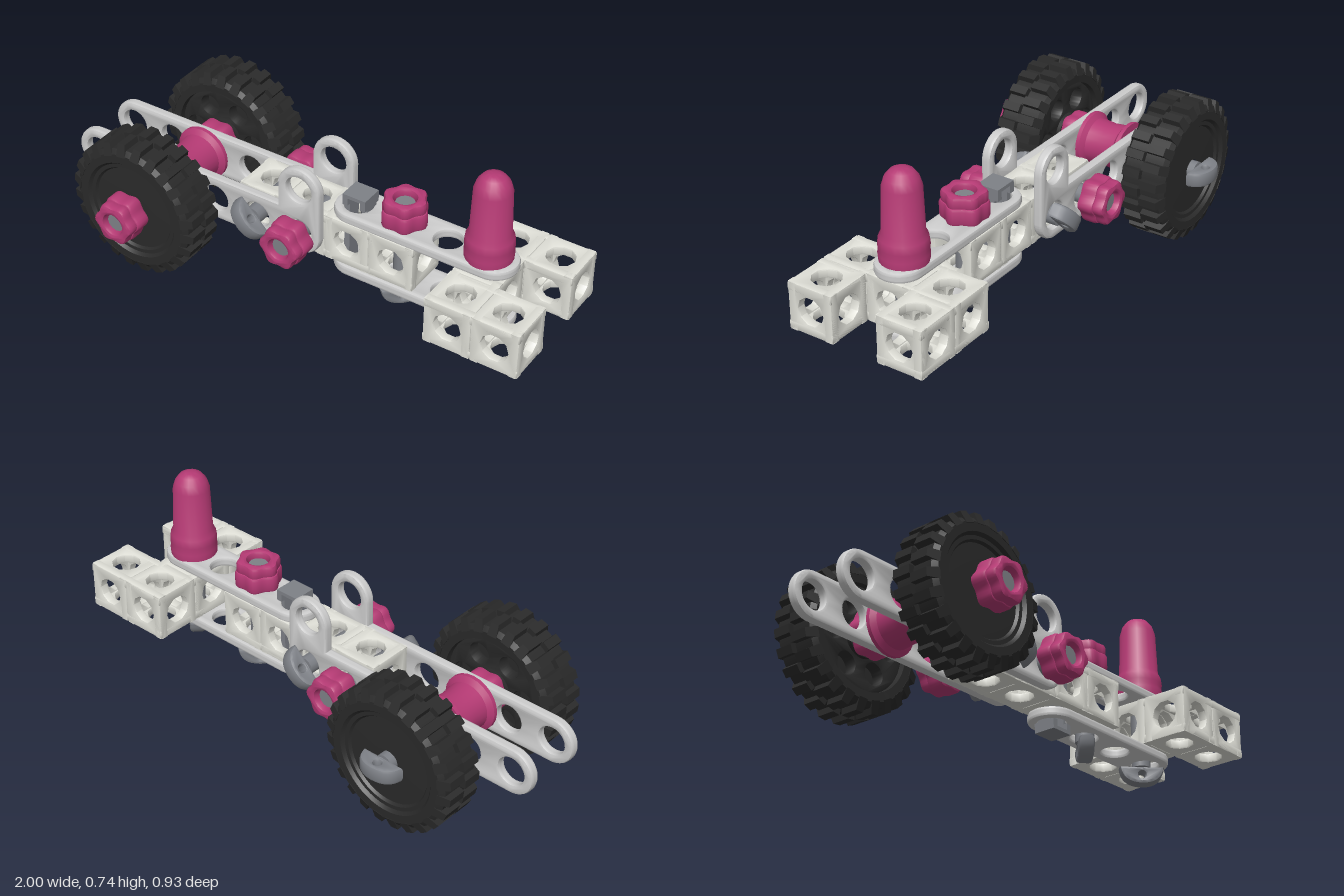
import * as THREE from 'three';
import { mergeGeometries, toCreasedNormals } from 'three/addons/utils/BufferGeometryUtils.js';

const mat = (color) => new THREE.MeshStandardMaterial({ color });
const P = 0.185;   // hole spacing
const ZC = -0.01;  // centre plane of the frame
const HOLE = 0.053;

function add(parent, name, geo, material, x = 0, y = 0, z = 0) {
  const m = new THREE.Mesh(geo, material);
  m.name = name;
  m.position.set(x, y, z);
  parent.add(m);
  return m;
}

function hole(shape, x, y, r) {
  const p = new THREE.Path();
  p.absarc(x, y, r, 0, Math.PI * 2, true);
  shape.holes.push(p);
}

// Extrusion centred on z = 0, bevel included in the total depth
function slab(shape, depth, bevel = 0.008, segs = 8) {
  const g = new THREE.ExtrudeGeometry(shape, {
    depth: depth - 2 * bevel, bevelEnabled: bevel > 0, bevelSize: bevel, bevelOffset: -bevel,
    bevelThickness: bevel, bevelSegments: 2, curveSegments: segs,
  });
  g.translate(0, 0, -depth / 2 + bevel);
  return toCreasedNormals(g, 0.7);
}

// Rounded strip with n holes, first hole at the origin; optional upright eye above the last hole
function strip(n, upright) {
  const r = 0.09, L = (n - 1) * P, s = new THREE.Shape();
  s.absarc(0, 0, r, Math.PI / 2, Math.PI * 1.5, false);
  if (upright) {
    s.absarc(L, 0, r, -Math.PI / 2, 0, false);
    s.absarc(L, P, r, 0, Math.PI, false);
    s.lineTo(L - r, r);
  } else s.absarc(L, 0, r, -Math.PI / 2, Math.PI / 2, false);
  s.closePath();
  for (let i = 0; i < n; i++) hole(s, i * P, 0, HOLE);
  if (upright) hole(s, L, P, HOLE);
  return slab(s, 0.04, 0.012, 12);
}

// Cube cell bored through on all three axes
function cellGeometry() {
  const h = P / 2, t = 0.036, s = new THREE.Shape();
  s.moveTo(-h, -h); s.lineTo(h, -h); s.lineTo(h, h); s.lineTo(-h, h); s.closePath();
  hole(s, 0, 0, 0.054);
  const faces = [[0, 0], [0, Math.PI], [0, Math.PI / 2], [0, -Math.PI / 2], [Math.PI / 2, 0], [-Math.PI / 2, 0]];
  return mergeGeometries(faces.map(([rx, ry]) =>
    slab(s, t, 0.005, 5).translate(0, 0, h - t / 2).rotateX(rx).rotateY(ry)));
}

// Six-lobed outline for the hand nuts
function lobed(r, depth) {
  const pts = [];
  for (let i = 0; i < 48; i++) {
    const a = (i / 48) * Math.PI * 2, q = r * (0.93 + 0.07 * Math.cos(a * 6));
    pts.push(new THREE.Vector2(q * Math.cos(a), q * Math.sin(a)));
  }
  const s = new THREE.Shape(pts);
  hole(s, 0, 0, 0.042);
  return slab(s, depth, 0.012, 10);
}

// Bolt along local z: winged head below a, shaft to b, nut above b
function bolt(name, a, b, mats, { nut = true, twist = 0 } = {}) {
  const g = new THREE.Group();
  g.name = name;
  const end = b + 0.085;
  add(g, 'shaft', new THREE.CylinderGeometry(0.036, 0.036, end - a, 12).rotateX(Math.PI / 2), mats.steel, 0, 0, (a + end) / 2);
  const s = new THREE.Shape();
  s.moveTo(-0.085, 0); s.lineTo(0.085, 0);
  s.bezierCurveTo(0.08, 0.045, 0.055, 0.068, 0, 0.07);
  s.bezierCurveTo(-0.055, 0.068, -0.08, 0.045, -0.085, 0);
  hole(s, 0, 0.032, 0.014);
  const head = add(g, 'wingHead', slab(s, 0.06, 0.012).rotateX(-Math.PI / 2), mats.steel, 0, 0, a);
  head.rotation.z = twist;
  if (nut) {
    add(g, 'nutBase', lobed(0.09, 0.068), mats.pink, 0, 0, b + 0.034);
    add(g, 'nutTop', lobed(0.084, 0.05), mats.pink, 0, 0, b + 0.083);
  }
  return g;
}

// Wheel with axis z, outer face towards +z
function wheel(name, rubber) {
  const g = new THREE.Group();
  g.name = name;
  const profile = [[0.04, -0.085], [0.075, -0.085], [0.075, -0.02], [0.19, -0.02], [0.2, -0.088], [0.235, -0.09],
    [0.253, -0.075], [0.253, 0.075], [0.235, 0.09], [0.2, 0.09], [0.19, 0.078], [0.175, 0.078], [0.168, 0.068],
    [0.1, 0.07], [0.04, 0.07]].map(([r, y]) => new THREE.Vector2(r, y));
  add(g, 'tyre', toCreasedNormals(new THREE.LatheGeometry(profile, 48).rotateX(Math.PI / 2), 0.6), rubber);

  // Inner rim with round pockets
  const rim = new THREE.Shape();
  rim.absarc(0, 0, 0.197, 0, Math.PI * 2, false);
  hole(rim, 0, 0, 0.04);
  for (let i = 0; i < 6; i++) hole(rim, 0.132 * Math.cos(i * Math.PI / 3), 0.132 * Math.sin(i * Math.PI / 3), 0.042);
  add(g, 'pocketRim', slab(rim, 0.05, 0.004, 16), rubber, 0, 0, -0.045);

  // Two staggered rows of tapered tread lugs
  const lugs = [], n = 24;
  for (const side of [-1, 1]) for (let i = 0; i < n; i++) {
    const lug = new THREE.BoxGeometry(0.04, 0.046, 0.09), p = lug.attributes.position;
    for (let k = 0; k < p.count; k++) if (p.getY(k) > 0) {
      p.setX(k, p.getX(k) * 0.8);
      if (p.getZ(k) * side > 0) p.setZ(k, p.getZ(k) - side * 0.018);
    }
    lug.computeVertexNormals();
    lugs.push(lug.translate(0, 0.252, side * 0.0475).rotateZ((i + (side > 0 ? 0.5 : 0)) / n * Math.PI * 2));
  }
  add(g, 'treadLugs', mergeGeometries(lugs), rubber);
  return g;
}

export function createModel() {
  const root = new THREE.Group();
  root.name = 'constructionVehicle';
  const mats = { pink: mat(0xb53a74), steel: mat(0x7e8187) };
  const white = mat(0xdfdfd7), grey = mat(0xcdcdcb), rubber = mat(0x2a2a2a);
  const AX = -0.57, AY = 0.277;

  // Perforated blocks: the centre beam and the forked nose
  const cell = cellGeometry();
  const beam = new THREE.Group(), nose = new THREE.Group();
  beam.name = 'centreBeam'; nose.name = 'forkedNose';
  root.add(beam, nose);
  for (let i = 0; i < 4; i++) add(beam, 'beamCell', cell, white, -0.175 + i * P, AY, ZC);
  for (const [i, k] of [[0, -1], [0, 0], [0, 1], [1, -1], [1, 1]])
    add(nose, 'noseCell', cell, white, 0.722 + i * P, 0.264, ZC + k * P);

  // Side strips with upright eyes, and the flat strips above and below
  const side = strip(6, true), flat = strip(4, false).rotateX(Math.PI / 2);
  add(root, 'leftSideStrip', side, grey, -0.912, AY, 0.1);
  add(root, 'rightSideStrip', side, grey, -0.912, AY, -0.125);
  add(root, 'topStrip', flat, grey, 0.19, 0.383, ZC);
  add(root, 'bottomStrip', flat, grey, 0.19, 0.152, ZC);

  // Wheels
  const left = wheel('leftWheel', rubber), right = wheel('rightWheel', rubber);
  left.position.set(AX, AY, 0.263);
  right.position.set(AX, AY, -0.302);
  right.rotation.y = Math.PI;
  root.add(left, right);

  // Spool between the strips, spacers beside the wheels
  const spool = [[0.04, -0.09], [0.11, -0.09], [0.11, -0.075], [0.09, -0.06], [0.084, 0], [0.09, 0.06],
    [0.11, 0.075], [0.11, 0.09], [0.04, 0.09]].map(([r, y]) => new THREE.Vector2(r, y));
  add(root, 'axleSpool', toCreasedNormals(new THREE.LatheGeometry(spool, 24).rotateX(Math.PI / 2), 0.6), mats.pink, AX, AY, ZC);
  add(root, 'leftSpacer', lobed(0.092, 0.06), mats.pink, AX, AY, 0.147);
  add(root, 'rightSpacer', lobed(0.092, 0.07), mats.pink, AX, AY, -0.178);

  // Bolts across the frame
  const axle = bolt('axleBolt', -0.397, 0.355, mats);
  axle.position.set(AX, AY, 0);
  const front = bolt('middleBolt', -0.162, 0.14, mats, { twist: Math.PI / 4 });
  front.position.set(0.01, AY, 0);
  const rear = bolt('rearBolt', -0.135, 0.165, mats, { twist: Math.PI / 4 });
  rear.position.set(-0.18, AY, 0);
  rear.rotation.y = Math.PI;
  root.add(axle, front, rear);

  // Upright bolts
  const deck = bolt('deckBolt', 0.117, 0.403, mats, { twist: Math.PI / 4 });
  const mast = bolt('mastBolt', 0.117, 0.403, mats, { nut: false, twist: -Math.PI / 4 });
  [deck, mast].forEach((b, i) => {
    b.rotation.x = -Math.PI / 2;
    b.position.set(i ? 0.722 : 0.38, 0, ZC);
    root.add(b);
  });

  // Tall domed cap
  const cap = [[0, 0.4], [0.088, 0.4], [0.09, 0.43], [0.087, 0.445], [0.09, 0.46], [0.086, 0.49], [0.076, 0.51],
    [0.07, 0.68], [0.06, 0.712], [0.042, 0.735], [0.02, 0.745], [0, 0.745]].map(([r, y]) => new THREE.Vector2(r, y));
  add(root, 'domedCap', toCreasedNormals(new THREE.LatheGeometry(cap, 20), 0.6), mats.pink, 0.722, 0, ZC);

  // Split clip through the deck
  const clip = new THREE.Group();
  clip.name = 'splitClip';
  clip.position.set(0.195, 0, ZC);
  root.add(clip);
  for (const s of [-1, 1]) {
    add(clip, 'clipLeg', new THREE.BoxGeometry(0.022, 0.36, 0.06), mats.steel, s * 0.037, 0.275, 0);
    add(clip, 'clipBar', new THREE.BoxGeometry(0.096, 0.014, 0.09), mats.steel, 0, 0.275 + s * 0.173, 0);
    for (const y of [0.43, 0.115]) add(clip, 'clipLip', new THREE.BoxGeometry(0.022, 0.04, 0.09), mats.steel, s * 0.037, y, 0);
  }
  return root;
}
